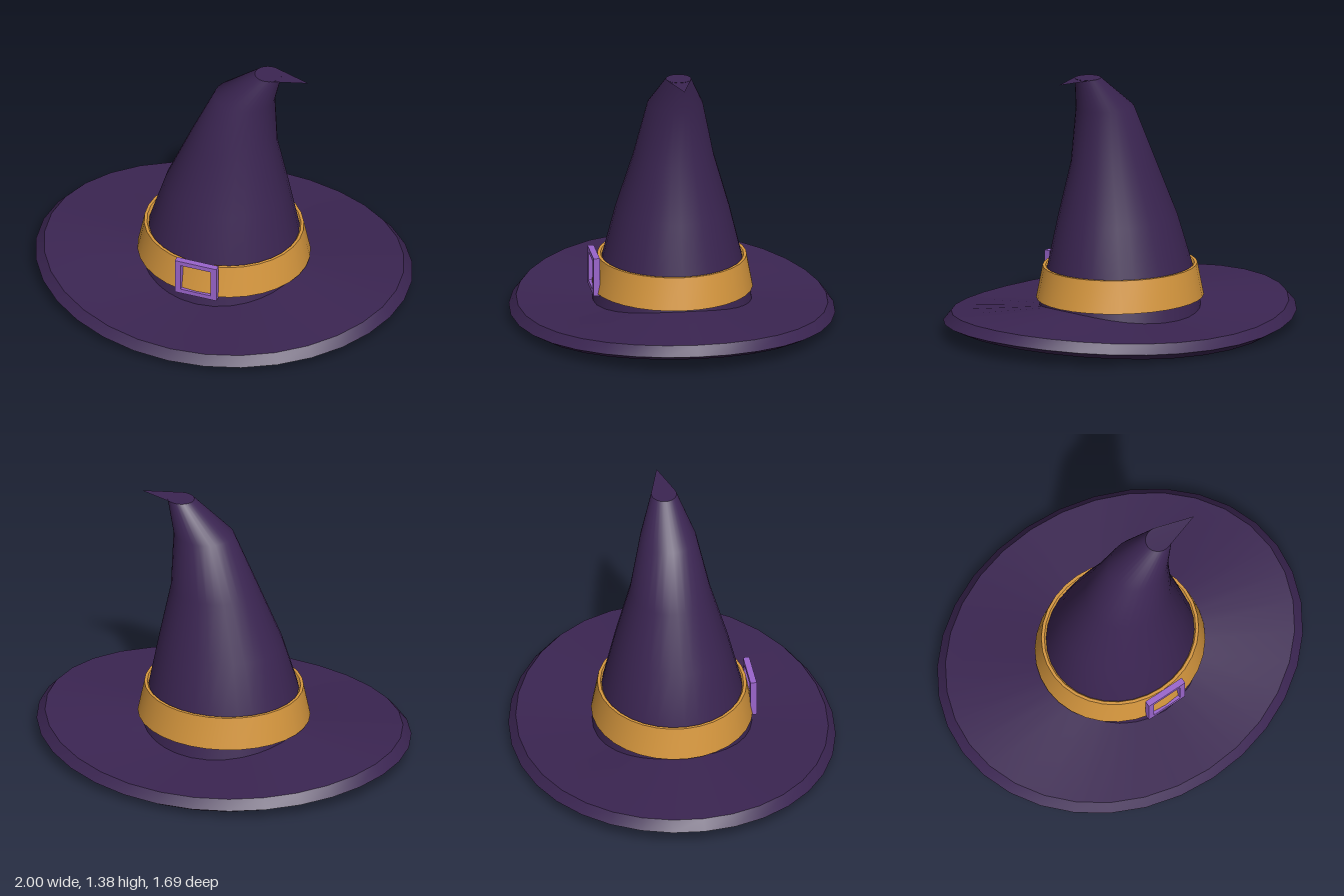
import * as THREE from 'three';
import { toCreasedNormals } from 'three/addons/utils/BufferGeometryUtils.js';

const SIDES = 32;

// Skins a stack of rings; each ring is { cx, y, rx, rz, lift }.
// lift raises the ring towards its left and right ends.
function loft(rings, crease) {
  const point = (r, i) => {
    const a = (i / SIDES) * Math.PI * 2;
    const c = Math.cos(a);
    return [(r.cx || 0) + r.rx * c, r.y + (r.lift || 0) * c * c, r.rz * Math.sin(a)];
  };
  const positions = [];
  for (let k = 0; k < rings.length - 1; k++) {
    const lower = rings[k], upper = rings[k + 1];
    for (let i = 0; i < SIDES; i++) {
      const j = (i + 1) % SIDES;
      if (lower.rx > 0) positions.push(...point(lower, i), ...point(upper, i), ...point(lower, j));
      if (upper.rx > 0) positions.push(...point(lower, j), ...point(upper, i), ...point(upper, j));
    }
  }
  const geometry = new THREE.BufferGeometry();
  geometry.setAttribute('position', new THREE.Float32BufferAttribute(positions, 3));
  return toCreasedNormals(geometry, crease);
}

function material(name, color) {
  const m = new THREE.MeshStandardMaterial({ color });
  m.name = name;
  return m;
}

export function createModel() {
  const group = new THREE.Group();
  group.name = 'witchHat';
  const felt = material('dark purple felt', 0x3b2552);
  const gold = material('gold band', 0xd6973e);
  const violet = material('violet buckle', 0x9a65cc);

  const add = (name, geometry, mat) => {
    const mesh = new THREE.Mesh(geometry, mat);
    mesh.name = name;
    group.add(mesh);
    return mesh;
  };

  // Oval brim with bevelled rim, curling up at both sides and hollow below
  const brim = [
    [0, 0.058, 0], [0.44, 0, 0.055], [0.92, 0, 0.058], [1, 0.04, 0.055],
    [0.955, 0.09, 0.055], [0.4, 0.102, 0.055],
  ].map(([r, y, lift]) => ({ rx: r, rz: r * 0.847, y, lift }));
  add('brim', loft(brim, 0.4), felt);

  // Crown leaning to the left, ending in a flat pointed tip
  const crown = [
    [0, 0.08, 0.44, 0.42], [0, 0.17, 0.425, 0.4], [0.002, 0.34, 0.393, 0.362],
    [0.018, 0.6, 0.328, 0.298], [0.052, 0.9, 0.233, 0.21], [0.115, 1.2, 0.16, 0.145],
    [0.246, 1.375, 0.071, 0.066], [0.47, 1.372, 0, 0],
  ].map(([cx, y, rx, rz]) => ({ cx, y, rx, rz }));
  add('crown', loft(crown, 0.6), felt);

  // Flared band around the crown
  const band = [
    [0.38, 0.35, 0.17], [0.455, 0.42, 0.17], [0.42, 0.388, 0.34],
    [0.405, 0.372, 0.34], [0.38, 0.35, 0.3],
  ].map(([rx, rz, y]) => ({ rx, rz, y }));
  add('band', loft(band, 0.6), gold);

  // Square buckle frame on the front
  const frame = new THREE.Shape([
    [-0.115, -0.102], [0.115, -0.102], [0.115, 0.102], [-0.115, 0.102],
  ].map(([x, y]) => new THREE.Vector2(x, y)));
  frame.holes.push(new THREE.Path([
    [-0.083, -0.077], [-0.083, 0.077], [0.083, 0.077], [0.083, -0.077],
  ].map(([x, y]) => new THREE.Vector2(x, y))));
  const buckle = add('buckle',
    new THREE.ExtrudeGeometry(frame, { depth: 0.033, bevelEnabled: false }), violet);
  buckle.position.set(0, 0.262, 0.395);

  return group;
}
